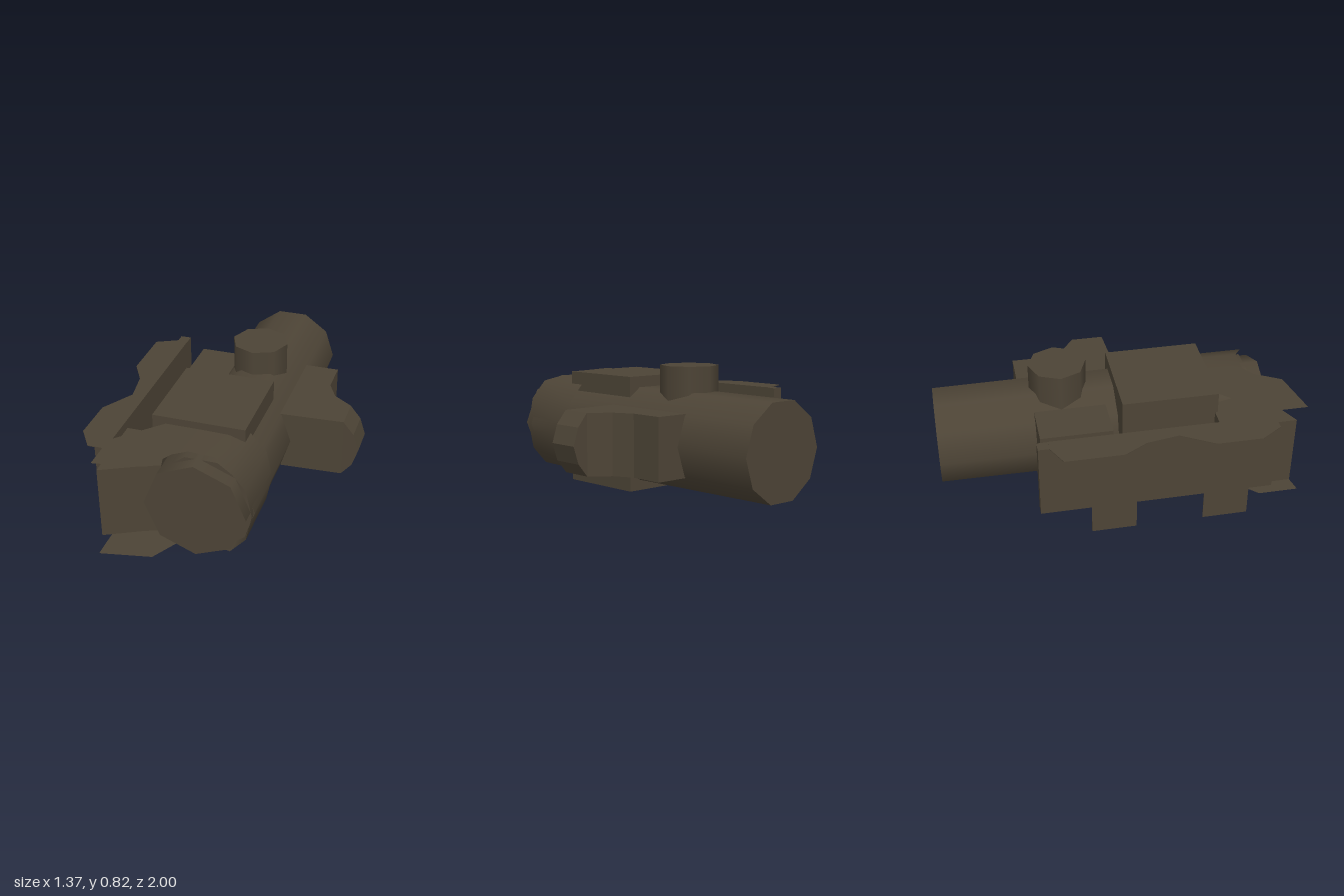
import * as THREE from 'three';

export function createModel() {
  const model = new THREE.Group();
  const olive = new THREE.MeshStandardMaterial({ color: 0x4d4436 });
  olive.name = 'darkOlive';
  const oliveSheet = new THREE.MeshStandardMaterial({ color: 0x4d4436, side: THREE.DoubleSide });
  oliveSheet.name = 'darkOliveSheet';

  const add = (name, geometry, material = olive) => {
    const mesh = new THREE.Mesh(geometry, material);
    mesh.name = name;
    model.add(mesh);
    return mesh;
  };
  const shapeOf = (points) => new THREE.Shape(points.map(([x, y]) => new THREE.Vector2(x, y)));

  // Box given by its limits on each axis
  const block = (name, [x0, x1], [y0, y1], [z0, z1]) =>
    add(name, new THREE.BoxGeometry(x1 - x0, y1 - y0, z1 - z0))
      .position.set((x0 + x1) / 2, (y0 + y1) / 2, (z0 + z1) / 2);

  // Upright prism from an x,z plan
  const prism = (name, plan, y0, y1) => {
    const g = new THREE.ExtrudeGeometry(shapeOf(plan.map(([x, z]) => [x, -z])),
      { depth: y1 - y0, bevelEnabled: false });
    g.rotateX(-Math.PI / 2);
    g.translate(0, y0, 0);
    return add(name, g);
  };

  // Main tube with a faceted front end
  const tube = (name, x, rFront, rBack, z0, z1, sides, turn) => {
    const g = new THREE.CylinderGeometry(rFront, rBack, z1 - z0, sides, 1, false, turn);
    g.rotateX(Math.PI / 2);
    g.translate(x, 0.41, (z0 + z1) / 2);
    add(name, g);
  };
  tube('mainTube', 0.01, 0.287, 0.277, -1, 0.78, 10, Math.PI / 2);
  tube('frontLens', -0.005, 0.28, 0.28, 0.5, 0.86, 8, 0);

  // Dial on top
  const dial = add('topDial', new THREE.CylinderGeometry(0.162, 0.162, 0.22, 8));
  dial.position.set(0, 0.71, -0.305);

  // Central housing around the tube
  block('housing', [-0.35, 0.17], [0.08, 0.742], [0, 0.535]);

  // Blocks joining the tube to the side rail
  block('rearBracket', [-0.41, -0.165], [0.2, 0.62], [-0.46, -0.06]);
  prism('frontBracket', [[-0.505, 0.52], [-0.27, 0.52], [-0.2, 0.8], [-0.3, 0.84], [-0.5, 0.94]], 0.2, 0.62);

  // Side rail with its outline plate and two feet
  block('sideRail', [-0.565, -0.505], [0.23, 0.668], [-0.49, 0.81]);
  prism('railPlate', [[-0.505, -0.43], [-0.565, -0.43], [-0.685, -0.37], [-0.685, -0.05], [-0.61, 0.08],
    [-0.58, 0.26], [-0.685, 0.44], [-0.685, 0.69], [-0.605, 0.81], [-0.505, 0.81]], 0.666, 0.67);
  for (const [z0, z1] of [[-0.2, 0.055], [0.44, 0.7]]) {
    block('railFoot', [-0.508, -0.504], [0, 0.25], [z0, z1]);
  }

  // Side mount and its rounded end
  prism('sideMount', [[0.23, -0.515], [0.425, -0.515], [0.425, -0.32], [0.48, -0.21],
    [0.59, -0.13], [0.59, 0.055], [0.23, 0.075]], 0.238, 0.583);
  const end = new THREE.ExtrudeGeometry(
    shapeOf([[0.59, 0.238], [0.65, 0.31], [0.682, 0.41], [0.65, 0.51], [0.59, 0.583]]),
    { depth: 0.185, bevelEnabled: false });
  end.translate(0, 0, -0.13);
  add('sideMountEnd', end);

  // Wrapped sheet: x, y, back z and front z of each column, mirrored below the axis
  const half = [
    [-0.5, 0.7, 0.77, 0.995], [-0.27, 0.7, 0.53, 0.95], [-0.22, 0.7, 0.48, 0.94],
    [-0.14, 0.7, 0.44, 0.8], [-0.07, 0.7, 0.44, 0.75], [0.08, 0.697, 0.44, 0.755],
    [0.17, 0.668, 0.44, 0.81], [0.26, 0.565, 0.44, 0.815], [0.292, 0.41, 0.44, 0.815],
  ];
  const columns = [...half, ...half.slice(0, -1).reverse().map(([x, y, b, f]) => [x, 0.82 - y, b, f])];
  const positions = [];
  const index = [];
  columns.forEach(([x, y, back, front], i) => {
    positions.push(x, y, back, x, y, front);
    if (i > 0) {
      const a = 2 * i - 2;
      index.push(a, a + 1, a + 2, a + 2, a + 1, a + 3);
    }
  });
  const wrap = new THREE.BufferGeometry();
  wrap.setAttribute('position', new THREE.Float32BufferAttribute(positions, 3));
  wrap.setIndex(index);
  wrap.computeVertexNormals();
  add('wrappedHood', wrap, oliveSheet);

  return model;
}
